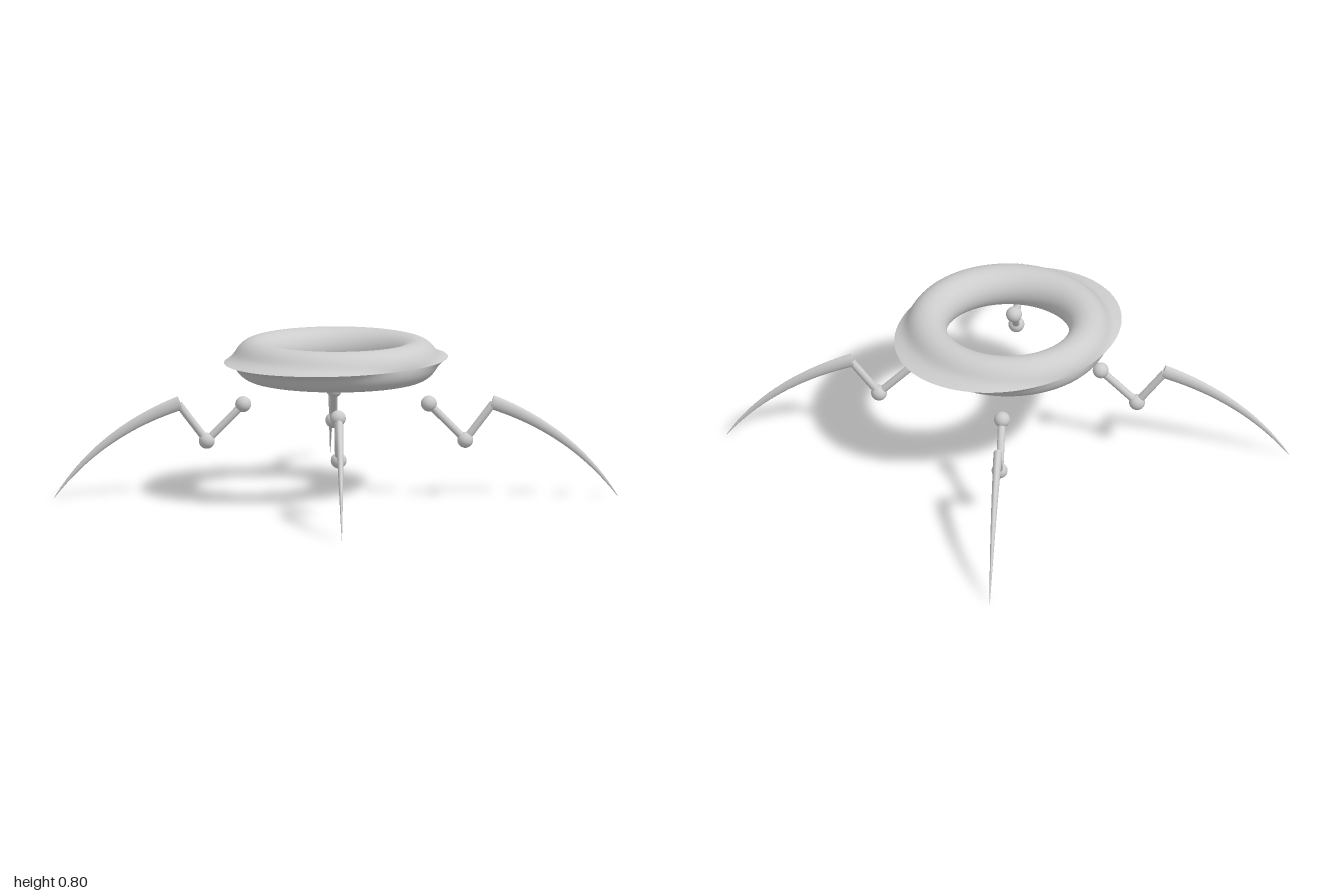
import * as THREE from 'three';
import { mergeVertices } from 'three/addons/utils/BufferGeometryUtils.js';

const grey = new THREE.MeshStandardMaterial({ color: 0xcccccc });
grey.name = 'grey';

function addMesh(parent, name, geometry) {
  const mesh = new THREE.Mesh(geometry, grey);
  mesh.name = name;
  parent.add(mesh);
  return mesh;
}

// Torus whose outer edge is drawn out sideways into a sharp, thin brim
function ringGeometry() {
  const tubeSides = 96, segments = 96, radius = 0.408, tube = 0.102;
  const geo = new THREE.TorusGeometry(radius, tube, tubeSides, segments);
  const pos = geo.attributes.position;
  for (let i = 0; i < pos.count; i++) {
    const ringDistance = Math.hypot(pos.getX(i), pos.getY(i)) - radius;
    const angle = Math.abs(Math.atan2(pos.getZ(i), ringDistance));
    pos.setX(i, pos.getX(i) * (1 + 0.2 * Math.exp(-angle / 0.17)));
  }
  geo.computeVertexNormals();
  // Keep the shading continuous where the ring closes
  const normal = geo.attributes.normal, n = new THREE.Vector3();
  for (let i = 0; i < normal.count; i++) {
    const column = i % (segments + 1);
    if (column !== 0 && column !== segments) continue;
    n.fromBufferAttribute(normal, i).setY(0).normalize();
    normal.setXYZ(i, n.x, n.y, n.z);
  }
  return geo.rotateX(-Math.PI / 2);
}

// Curved claw: a tube narrowed to a point and flattened sideways
const D = Math.SQRT2;
const bladePath = new THREE.QuadraticBezierCurve3(
  new THREE.Vector3(0.552 * D, 0.482, 0),
  new THREE.Vector3(0.84 * D, 0.335, 0),
  new THREE.Vector3(1.0 * D, 0, 0)
);
const DEPTH = 0.036, FLATNESS = 0.62;

function bladeGeometry() {
  const steps = 40, sides = 24;
  const geo = new THREE.TubeGeometry(bladePath, steps, DEPTH, sides, false);
  const pos = geo.attributes.position, p = new THREE.Vector3();
  for (let i = 0; i < pos.count; i++) {
    const t = Math.floor(i / (sides + 1)) / steps;
    const centre = bladePath.getPointAt(t);
    p.fromBufferAttribute(pos, i).sub(centre).multiplyScalar(Math.pow(1 - t, 0.8) + 0.01 * t);
    p.z *= FLATNESS;
    p.add(centre);
    pos.setXYZ(i, p.x, p.y, p.z);
  }
  geo.deleteAttribute('uv');
  geo.deleteAttribute('normal');
  const merged = mergeVertices(geo, 1e-5);
  merged.computeVertexNormals();
  return merged;
}

function addStrut(parent, name, a, b, radius) {
  const dir = b.clone().sub(a);
  const strut = addMesh(parent, name, new THREE.CylinderGeometry(radius, radius, dir.length(), 24));
  strut.position.copy(a).add(b).multiplyScalar(0.5);
  strut.quaternion.setFromUnitVectors(new THREE.Vector3(0, 1, 0), dir.normalize());
}

// One leg, reaching out along its own +x
function createLeg() {
  const leg = new THREE.Group();
  const hip = new THREE.Vector3(0.329 * D, 0.475, 0);
  const knee = new THREE.Vector3(0.458 * D, 0.29, 0);
  const ankle = new THREE.Vector3(0.557 * D, 0.475, 0);
  const ball = new THREE.SphereGeometry(0.04, 32, 20);
  addMesh(leg, 'hipBall', ball).position.copy(hip);
  addMesh(leg, 'kneeBall', ball).position.copy(knee);
  addStrut(leg, 'upperStrut', hip, knee, 0.019);
  addStrut(leg, 'lowerStrut', knee, ankle, 0.019);
  addMesh(leg, 'blade', bladeGeometry());

  // Flat end of the claw
  const cap = addMesh(leg, 'bladeCap', new THREE.CircleGeometry(DEPTH, 24));
  cap.scale.x = FLATNESS;
  cap.position.copy(bladePath.getPoint(0));
  cap.lookAt(cap.position.clone().sub(bladePath.getTangent(0)));
  return leg;
}

export function createModel() {
  const model = new THREE.Group();
  model.name = 'ringWalker';
  addMesh(model, 'ring', ringGeometry()).position.y = 0.7;

  const names = ['backLeftLeg', 'backRightLeg', 'frontRightLeg', 'frontLeftLeg'];
  names.forEach((name, i) => {
    const leg = createLeg();
    leg.name = name;
    leg.rotation.y = Math.PI / 4 + i * Math.PI / 2;
    model.add(leg);
  });
  return model;
}
